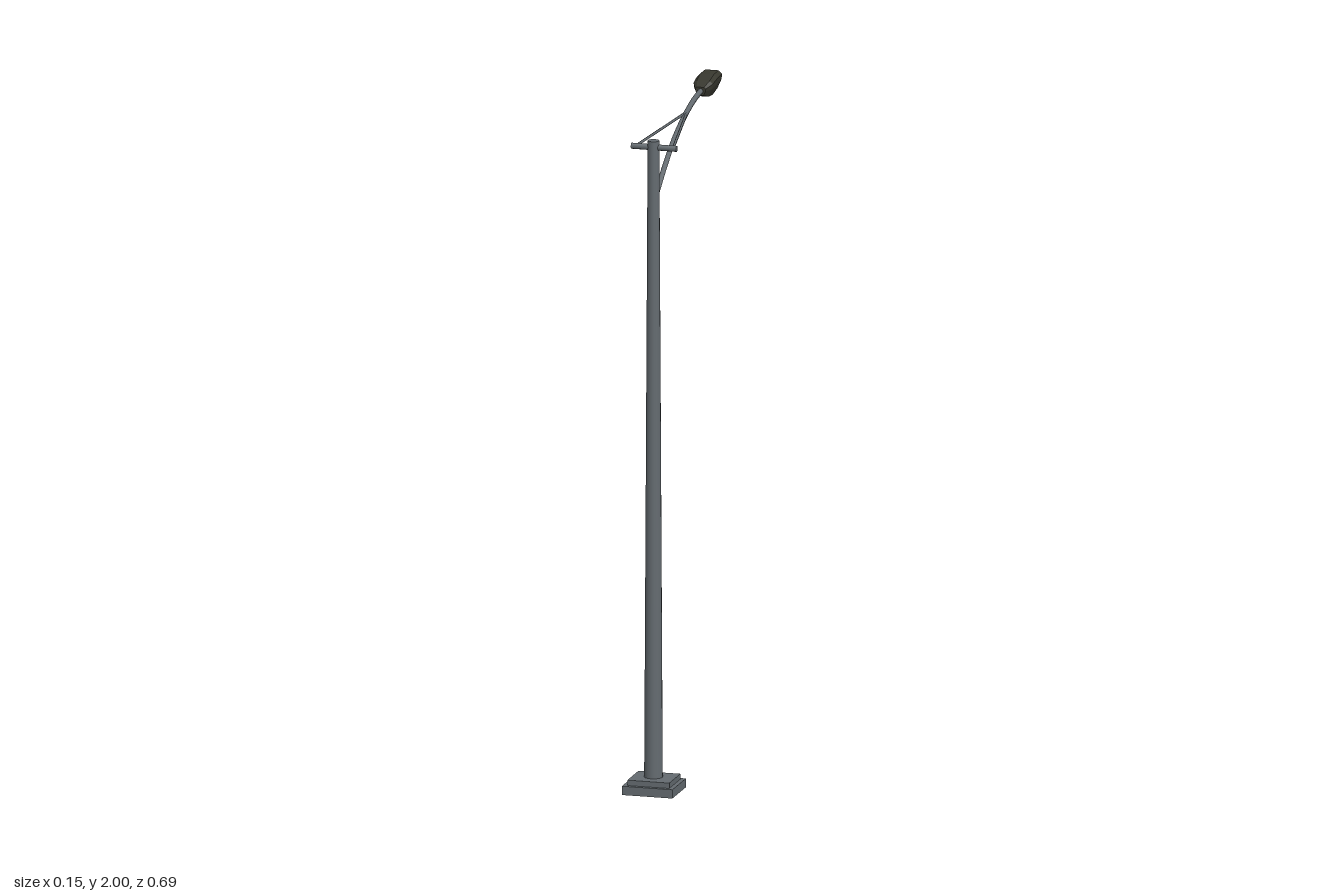
import * as THREE from 'three';

const V = (x, y, z) => new THREE.Vector3(x, y, z);

export function createModel() {
  const group = new THREE.Group();
  const steel = new THREE.MeshStandardMaterial({ color: 0x646b70 });
  steel.name = 'grey steel';
  const dark = new THREE.MeshStandardMaterial({ color: 0x38382f, flatShading: true });
  dark.name = 'dark housing';

  const add = (name, geometry, material = steel) => {
    const mesh = new THREE.Mesh(geometry, material);
    mesh.name = name;
    group.add(mesh);
    return mesh;
  };

  // Straight round bar between two points
  const bar = (name, a, b, r0, r1 = r0, sides = 8) => {
    const mesh = add(name, new THREE.CylinderGeometry(r1, r0, a.distanceTo(b), sides));
    mesh.position.copy(a).lerp(b, 0.5);
    mesh.quaternion.setFromUnitVectors(V(0, 1, 0), b.clone().sub(a).normalize());
    return mesh;
  };

  const poleZ = 0.272;

  // Stepped square foot
  add('basePlate', new THREE.BoxGeometry(0.152, 0.026, 0.14)).position.set(0, 0.013, 0.275);
  add('upperBasePlate', new THREE.BoxGeometry(0.126, 0.016, 0.115)).position.set(0, 0.034, 0.275);

  // Tapered pole and its crossbar
  bar('pole', V(-0.002, 0.04, poleZ), V(-0.002, 1.934, poleZ), 0.027, 0.017, 16);
  bar('crossbar', V(-0.068, 1.914, poleZ), V(0.068, 1.914, poleZ), 0.009);

  // Curved arm carrying the lamp
  const armPath = new THREE.CatmullRomCurve3([
    V(0, 1.757, 0.265), V(0, 1.826, 0.17), V(0, 1.886, 0.07),
    V(0, 1.928, -0.035), V(0, 1.954, -0.13), V(0, 1.966, -0.215),
  ]);
  add('arm', new THREE.TubeGeometry(armPath, 20, 0.008, 8));

  // Stay rods from the crossbar ends to the arm
  for (const s of [-1, 1]) {
    bar(s > 0 ? 'leftStay' : 'rightStay', V(s * 0.056, 1.914, 0.268), V(s * 0.003, 1.936, -0.052), 0.004, 0.004, 6);
  }

  // Lamp head: z, half width, bottom, top of each cross-section
  const rings = [
    [-0.207, 0.016, 1.953, 1.977],
    [-0.235, 0.029, 1.943, 1.99],
    [-0.275, 0.031, 1.94, 2.0],
    [-0.325, 0.031, 1.948, 2.0],
    [-0.345, 0.02, 1.956, 1.995],
  ];
  const section = [[0.92, 0.5], [1, 0.82], [0.65, 1], [-0.65, 1], [-1, 0.82], [-0.92, 0.5], [-0.55, 0], [0.55, 0]];
  const n = section.length;
  const positions = [];
  const index = [];
  for (const [z, w, y0, y1] of rings) {
    for (const [x, v] of section) positions.push(x * w, y0 + v * (y1 - y0), z);
  }
  for (let i = 0; i < rings.length - 1; i++) {
    for (let j = 0; j < n; j++) {
      const a = i * n + j, b = i * n + (j + 1) % n;
      index.push(a, a + n, b, b, a + n, b + n);
    }
  }
  const last = (rings.length - 1) * n;
  for (let j = 1; j < n - 1; j++) {
    index.push(0, j, j + 1, last, last + j + 1, last + j);
  }
  const lamp = new THREE.BufferGeometry();
  lamp.setAttribute('position', new THREE.Float32BufferAttribute(positions, 3));
  lamp.setIndex(index);
  lamp.computeVertexNormals();
  add('lampHead', lamp, dark);

  return group;
}
